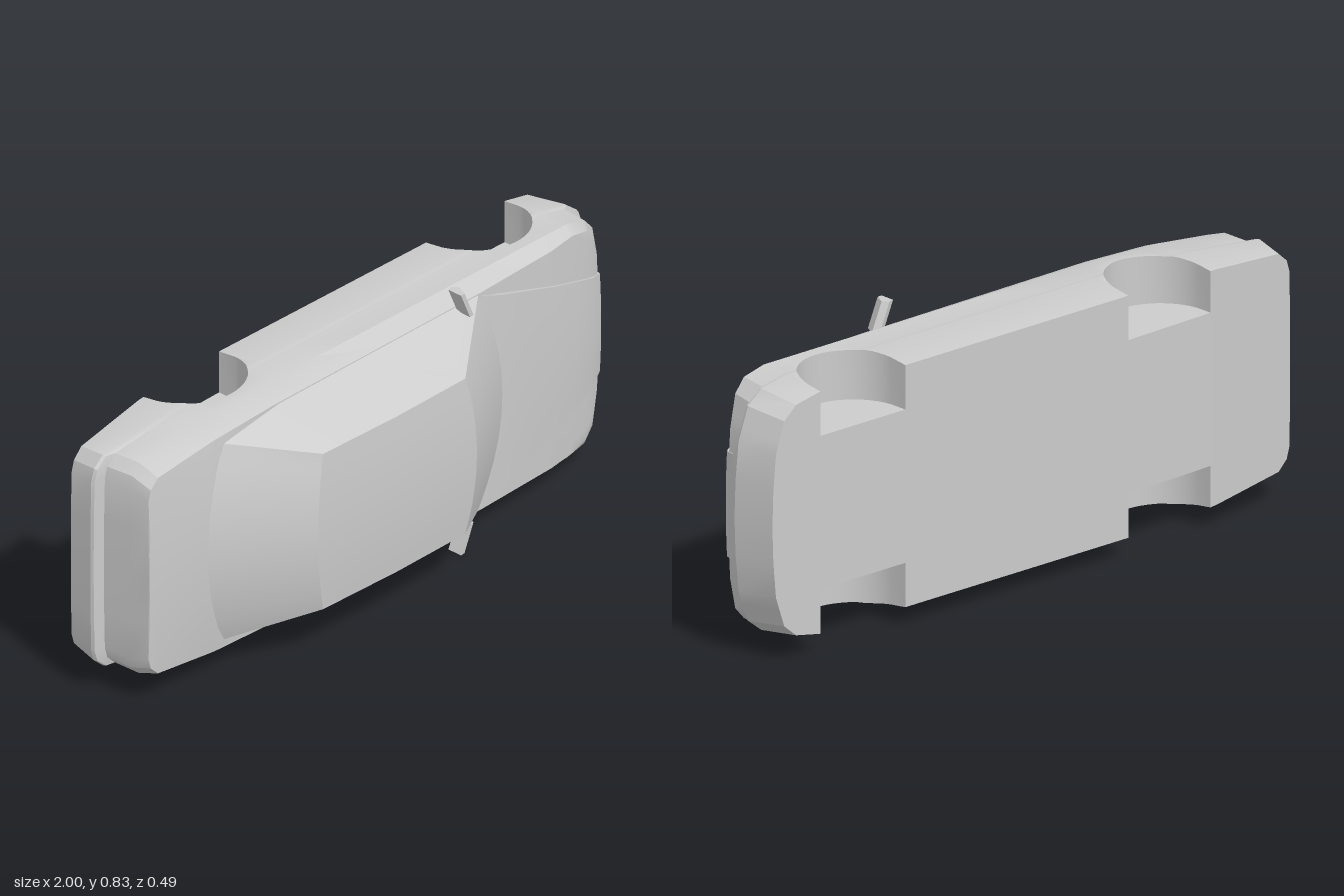
import * as THREE from 'three';
import { toCreasedNormals } from 'three/addons/utils/BufferGeometryUtils.js';

const MID = 0.413; // height of the car's centre plane; the car lies on its side, roof to +z
const material = new THREE.MeshStandardMaterial({ color: 0xcccccc, side: THREE.DoubleSide });

// Piecewise linear lookup through [x, value] pairs
function curve(points, x) {
  if (x <= points[0][0]) return points[0][1];
  for (let i = 1; i < points.length; i++) {
    const [x0, v0] = points[i - 1], [x1, v1] = points[i];
    if (x <= x1) return v0 + (v1 - v0) * (x - x0) / (x1 - x0);
  }
  return points[points.length - 1][1];
}

// Skin over rows of [along, across, up] points
function skin(name, rows, crease = 0.45) {
  const pos = [];
  const v = ([x, w, z]) => new THREE.Vector3(x, MID + w, z);
  const tri = (...p) => {
    const [a, b, c] = p.map(v);
    const area = b.clone().sub(a).cross(c.clone().sub(a)).length();
    if (area > 1e-8) [a, b, c].forEach((q) => pos.push(q.x, q.y, q.z));
  };
  for (let j = 0; j + 1 < rows.length; j++) {
    for (let k = 0; k + 1 < rows[j].length; k++) {
      const a = rows[j][k], b = rows[j][k + 1], c = rows[j + 1][k + 1], d = rows[j + 1][k];
      tri(a, b, c);
      tri(a, c, d);
    }
  }
  const geo = new THREE.BufferGeometry();
  geo.setAttribute('position', new THREE.Float32BufferAttribute(pos, 3));
  const mesh = new THREE.Mesh(toCreasedNormals(geo, crease), material);
  mesh.name = name;
  return mesh;
}

// Half outline seen from above, and the long curves of the body
const PLAN = [[-1, 0], [-0.999, 0.15], [-0.996, 0.27], [-0.985, 0.305], [-0.95, 0.335], [-0.68, 0.362],
  [-0.45, 0.372], [0.8, 0.372], [0.9, 0.354], [0.95, 0.315], [0.985, 0.22], [0.996, 0.11], [1, 0]];
const FLOOR = [[-1, -0.2], [-0.66, -0.235], [-0.35, -0.245], [1, -0.24]];
const BELT = [[-0.95, 0.058], [-0.65, 0.058], [0.4, 0.045], [0.7, 0.03], [0.88, 0.002], [0.94, -0.016]];
const CROWN = [[-0.95, 0.066], [-0.73, 0.083], [-0.5, 0.062], [0.4, 0.048], [0.7, 0.036], [0.88, 0.008], [0.94, -0.016]];
const HOOD = [[0.4, 0.052], [0.47, 0.06], [0.7, 0.045], [0.88, 0.017], [0.94, -0.01]];
const WHEELS = [-0.5, 0.64], WELL_R = 0.157, WELL_Z = -0.203, WELL_IN = 0.225;

// Bottom edge, lifted to a circle inside the wheel arches
function lowEdge(x) {
  const floor = curve(FLOOR, x);
  for (const c of WHEELS) {
    const d = Math.abs(x - c);
    if (d < WELL_R - 1e-5) return Math.max(floor, WELL_Z + Math.sqrt(WELL_R ** 2 - d * d));
  }
  return floor;
}

function buildBody() {
  // Stations along the car, closer together over the arches
  const xs = PLAN.map((p) => p[0]).concat([-0.73, -0.2, 0.0, 0.2, 0.4, 0.97]);
  for (const c of WHEELS) {
    for (let i = 0; i <= 24; i++) xs.push(c + WELL_R * Math.cos(Math.PI * i / 24));
    xs.push(c - WELL_R - 0.0005, c + WELL_R + 0.0005);
  }
  xs.sort((a, b) => a - b);

  const rows = xs.map((x) => {
    const half = curve(PLAN, x), floor = curve(FLOOR, x), low = lowEdge(x);
    // Levels pull the nose and tail in by their own amounts
    const at = (rear, front, f) => [
      x + (1 - rear) * Math.max(0, (-x - 0.7) / 0.3) - (1 - front) * Math.max(0, (x - 0.8) / 0.2), half * f];
    const beltXW = at(0.95, 0.935, 0.928);
    const belt = curve(BELT, beltXW[0]);
    const levels = [
      [...at(0.985, 0.975, 0.955), floor],
      [...at(1, 1, 1), -0.112],
      [...at(0.997, 0.995, 0.995), -0.102],
      [...at(0.962, 0.965, 0.993), -0.096],
      [...at(0.955, 0.945, 1), Math.min(-0.01, belt - 0.01)],
      [...beltXW, belt],
    ];
    // Trim the side at the arch
    const side = levels.map((p, k) => {
      if (p[2] >= low) return p;
      let i = k;
      while (levels[i + 1][2] < low) i++;
      const a = levels[i], b = levels[i + 1], t = (low - a[2]) / (b[2] - a[2]);
      return [0, 1, 2].map((n) => a[n] + (b[n] - a[n]) * t);
    });
    const [bx, bw] = side[0], inner = Math.min(WELL_IN, bw);
    const crown = curve(CROWN, beltXW[0]);
    const top = [0.9, 0.6, 0.3].map((f) => [beltXW[0], beltXW[1] * f, belt + (crown - belt) * (1 - f * f)]);
    const section = [[bx, 0, floor], [bx, inner, floor], [bx, inner, low], ...side, ...top, [beltXW[0], 0, crown]];
    return section.concat(section.slice(0, -1).reverse().map(([px, w, z]) => [px, -w, z]));
  });
  return skin('bodyShell', rows);
}

// Raised bonnet that narrows towards the nose, with a short skirt around it
function buildHood() {
  const rows = [0.4, 0.47, 0.58, 0.7, 0.8, 0.88, 0.94].map((x) => {
    const half = 0.335 - 0.18 * (x - 0.4) / 0.54, z = curve(HOOD, x);
    const row = [[x, half, z - 0.035]];
    for (let i = 0; i <= 8; i++) {
      const f = 1 - i / 4;
      row.push([x, half * f, z - 0.005 * f * f]);
    }
    row.push([x, -half, z - 0.035]);
    return row;
  });
  rows.push(rows[rows.length - 1].map(([x, w, z]) => [x + 0.006, w, Math.min(z, -0.045)]));
  return skin('hood', rows);
}

// Windows and roof: [edge x, half width, edge z, centre x, centre z, belt x, belt half width, belt z]
function buildCabin() {
  const rows = [
    [-0.65, 0.312, 0.058, -0.735, 0.084, -0.65, 0.312, 0.058],
    [-0.42, 0.247, 0.222, -0.45, 0.232, -0.42, 0.344, 0.05],
    [-0.13, 0.247, 0.228, -0.13, 0.241, -0.13, 0.344, 0.048],
    [0.15, 0.247, 0.222, 0.185, 0.233, 0.15, 0.344, 0.045],
    [0.39, 0.342, 0.044, 0.47, 0.06, 0.39, 0.342, 0.044],
  ].map(([ex, ew, ez, cx, cz, bx, bw, bz]) => {
    const row = [[bx, bw, bz]];
    for (let i = 0; i <= 10; i++) {
      const f = 1 - i / 5, c = 1 - f * f;
      row.push([ex + (cx - ex) * c, ew * f, ez + (cz - ez) * c]);
    }
    row.push([bx, -bw, bz]);
    return row;
  });
  return skin('cabin', rows, 0.35);
}

// Swept-back blade mirrors, shorter at the root's upper corner
function buildMirror(sideSign) {
  const shape = new THREE.Shape();
  [[0.3, 0.05], [0.318, 0.045], [0.332, 0.062], [0.316, 0.096], [0.3, 0.098]]
    .forEach(([x, z], i) => (i ? shape.lineTo(x, z) : shape.moveTo(x, z)));
  const geo = new THREE.ExtrudeGeometry(shape, { depth: 0.083, bevelEnabled: false });
  const p = geo.attributes.position;
  for (let i = 0; i < p.count; i++) {
    const t = p.getZ(i) / 0.083;
    const x = p.getX(i) - 0.036 * t, z = p.getY(i), w = 0.33 + p.getZ(i);
    p.setXYZ(i, x, MID + sideSign * w, z);
  }
  geo.computeVertexNormals();
  if (sideSign > 0) {
    // Keep the corner order outward on this side
    for (let i = 0; i < p.count; i += 3) {
      const a = new THREE.Vector3().fromBufferAttribute(p, i);
      const b = new THREE.Vector3().fromBufferAttribute(p, i + 1);
      p.setXYZ(i, b.x, b.y, b.z);
      p.setXYZ(i + 1, a.x, a.y, a.z);
    }
    geo.computeVertexNormals();
  }
  const mesh = new THREE.Mesh(geo, material);
  mesh.name = sideSign > 0 ? 'upperMirror' : 'lowerMirror';
  return mesh;
}

export function createModel() {
  const car = new THREE.Group();
  car.name = 'car';
  car.add(buildBody(), buildHood(), buildCabin(), buildMirror(1), buildMirror(-1));
  return car;
}
